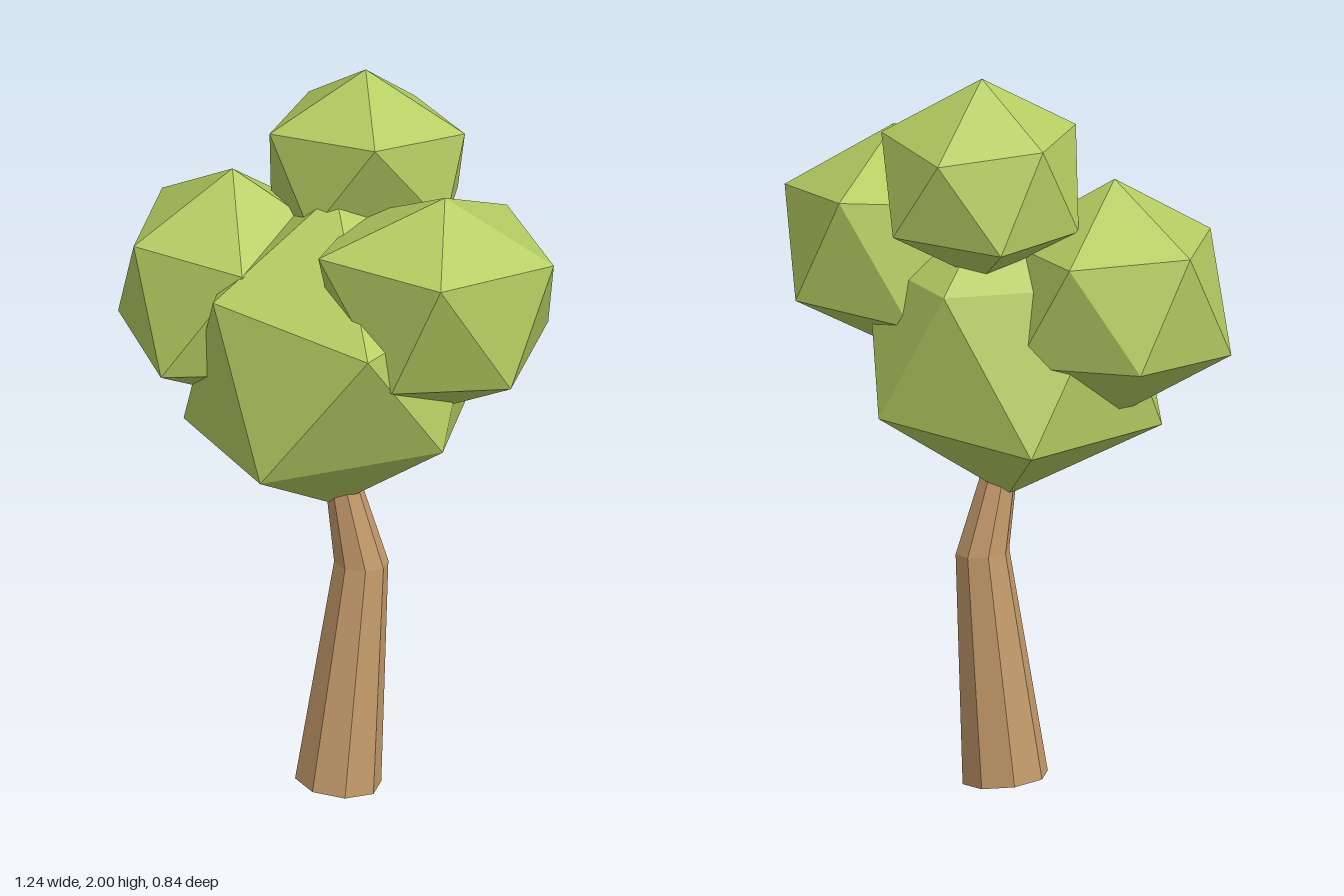
import * as THREE from 'three';

// Faceted leaf clump: a loose icosahedron given as tip, upper ring, lower ring, base
function leafClump(name, tip, upper, lower, base, material) {
  const pos = [];
  const face = (...corners) => corners.forEach((c) => pos.push(...c));
  for (let k = 0; k < 5; k++) {
    const n = (k + 1) % 5;
    face(tip, upper[n], upper[k]);
    face(upper[k], upper[n], lower[k]);
    face(lower[k], upper[n], lower[n]);
    face(base, lower[k], lower[n]);
  }
  const geo = new THREE.BufferGeometry();
  geo.setAttribute('position', new THREE.Float32BufferAttribute(pos, 3));
  geo.computeVertexNormals();
  const mesh = new THREE.Mesh(geo, material);
  mesh.name = name;
  return mesh;
}

// Bent, tapering octagonal trunk; stations run from top to bottom
function trunk(material) {
  const stations = [
    { c: [0.01, 0.95, 0.02], r: 0.04, tilt: 0 },
    { c: [0.069, 0.645, -0.005], r: 0.073, tilt: -0.05 },
    { c: [0.012, 0.015, 0.02], r: 0.116, tilt: -0.11 },
  ];
  const geo = new THREE.CylinderGeometry(1, 1, 2, 8, 2, false, Math.PI / 8);
  const p = geo.attributes.position;
  for (let i = 0; i < p.count; i++) {
    const { c, r, tilt } = stations[Math.round(1 - p.getY(i))];
    const x = p.getX(i) * r;
    p.setXYZ(i, c[0] + x, c[1] + x * tilt, c[2] + p.getZ(i) * r);
  }
  geo.computeVertexNormals();
  const mesh = new THREE.Mesh(geo, material);
  mesh.name = 'trunk';
  return mesh;
}

export function createModel() {
  const group = new THREE.Group();
  group.name = 'tree';
  const bark = new THREE.MeshStandardMaterial({ color: 0xc69c6c, flatShading: true });
  const leaf = new THREE.MeshStandardMaterial({ color: 0xb4ce62, flatShading: true });

  group.add(trunk(bark));

  // Large clump sitting on the trunk
  group.add(leafClump('mainFoliage', [0, 1.71, 0],
    [[0.38, 1.44, 0], [0.19, 1.41, 0.42], [-0.275, 1.465, 0.25], [-0.31, 1.45, -0.2], [0.12, 1.43, -0.31]],
    [[0.345, 1.08, 0.215], [-0.112, 1.016, 0.39], [-0.413, 1.016, 0.01], [-0.13, 1.016, -0.386], [0.31, 1.063, -0.228]],
    [0, 0.805, 0], leaf));

  // Smaller clumps around and above it
  group.add(leafClump('topFoliage', [0.043, 2, -0.163],
    [[0.314, 1.84, -0.165], [0.127, 1.873, 0.08], [-0.187, 1.847, -0.027], [-0.15, 1.85, -0.32], [0.117, 1.823, -0.418]],
    [[0.28, 1.607, -0.08], [-0.06, 1.6, 0.038], [-0.225, 1.6, -0.2], [-0.053, 1.583, -0.415], [0.25, 1.603, -0.35]],
    [0.04, 1.45, -0.18], leaf));

  group.add(leafClump('leftFoliage', [0.33, 1.78, 0.128],
    [[0.622, 1.603, 0.104], [0.387, 1.632, 0.412], [0.02, 1.635, 0.278], [0.05, 1.62, -0.08], [0.425, 1.64, -0.18]],
    [[0.538, 1.296, 0.244], [0.24, 1.3, 0.36], [0.04, 1.3, 0.12], [0.23, 1.307, -0.19], [0.555, 1.344, -0.11]],
    [0.33, 1.17, 0.11], leaf));

  group.add(leafClump('rightFoliage', [-0.3, 1.715, -0.075],
    [[0, 1.53, -0.08], [-0.208, 1.524, 0.197], [-0.528, 1.54, 0.1], [-0.537, 1.556, -0.261], [-0.227, 1.535, -0.352]],
    [[-0.1, 1.22, 0.12], [-0.43, 1.21, 0.197], [-0.622, 1.254, -0.114], [-0.42, 1.255, -0.358], [-0.07, 1.24, -0.28]],
    [-0.3, 1.06, -0.08], leaf));

  return group;
}
